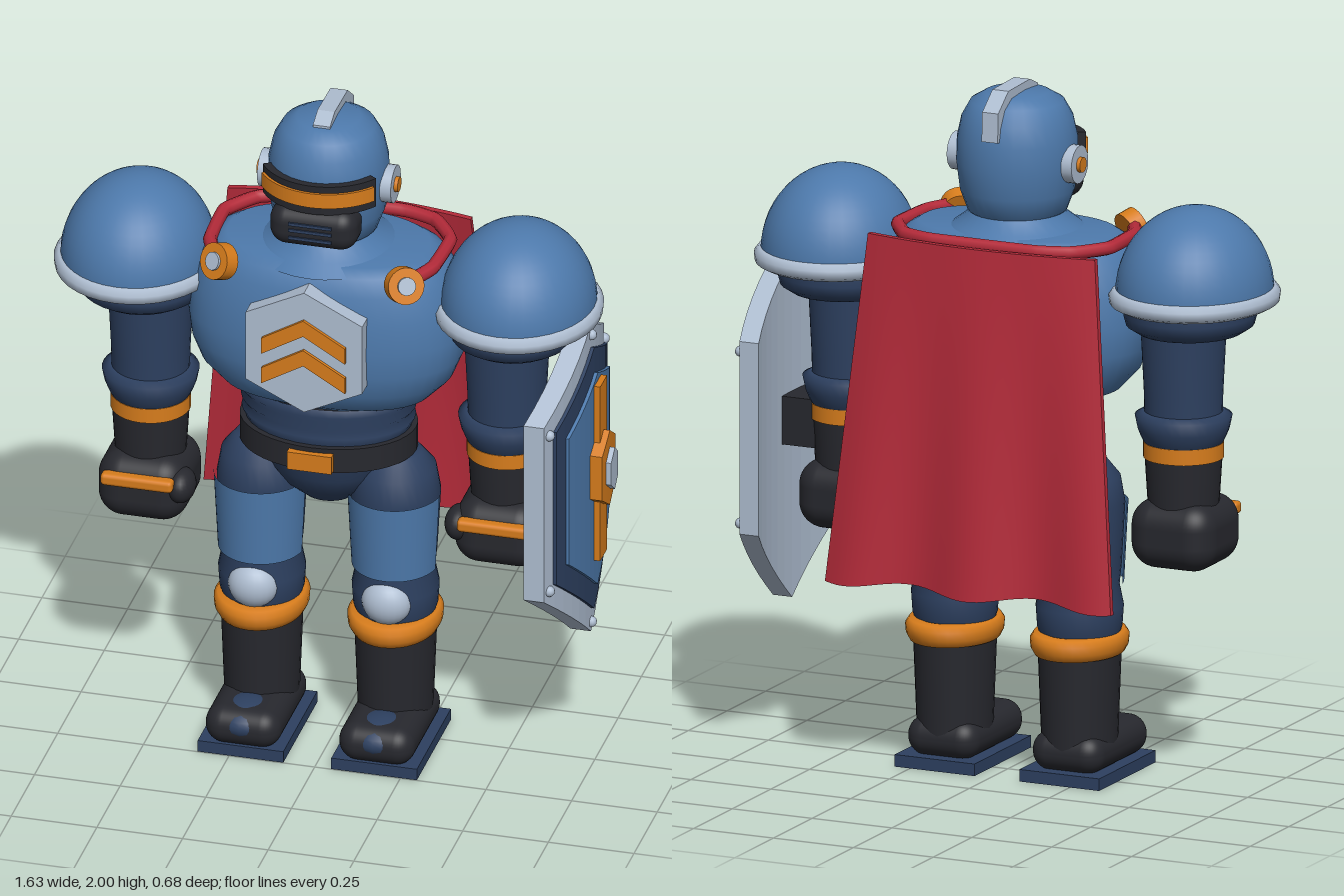
import * as THREE from 'three';
import { mergeVertices } from 'three/addons/utils/BufferGeometryUtils.js';
import { RoundedBoxGeometry } from 'three/addons/geometries/RoundedBoxGeometry.js';

const paint = (name, color) => Object.assign(new THREE.MeshStandardMaterial({ color }), { name });

export function createModel() {
  const blue = paint('armour blue', 0x4d79ab);
  const navy = paint('dark blue', 0x2d4060);
  const black = paint('charcoal', 0x27282e);
  const orange = paint('orange', 0xd67c1c);
  const steel = paint('pale steel', 0xaebdd0);
  const red = paint('cape red', 0xb52b3a);

  const model = new THREE.Group();
  model.name = 'armouredKnight';
  model.position.set(-0.022, 0, 0.016);

  const add = (parent, name, geo, mat, x = 0, y = 0, z = 0) => {
    const m = new THREE.Mesh(geo, mat);
    m.name = name;
    m.position.set(x, y, z);
    parent.add(m);
    return m;
  };
  const group = (name, x = 0) => {
    const g = new THREE.Group();
    g.name = name;
    g.position.x = x;
    model.add(g);
    return g;
  };
  // Turned form from a bottom-to-top profile, with squared-off (n > 2) and stretched section
  const turned = (profile, sz = 1, n = 2, seg = 32) => {
    let geo = new THREE.LatheGeometry(profile.map(p => new THREE.Vector2(...p)), seg);
    const p = geo.attributes.position;
    for (let i = 0; i < p.count; i++) {
      const x = p.getX(i), z = p.getZ(i), r = Math.hypot(x, z);
      if (r < 1e-6) continue;
      const f = (Math.abs(x / r) ** n + Math.abs(z / r) ** n) ** (-1 / n);
      p.setXYZ(i, x * f, p.getY(i), z * f * sz);
    }
    geo.deleteAttribute('uv');
    geo.deleteAttribute('normal');
    geo = mergeVertices(geo, 1e-5);
    geo.computeVertexNormals();
    return geo;
  };
  const ball = (a, b, c) => new THREE.SphereGeometry(1, 24, 16).scale(a, b, c);
  const disc = (r, h, seg = 24) => new THREE.CylinderGeometry(r, r, h, seg);
  const plate = (pts, depth) => new THREE.ExtrudeGeometry(
    new THREE.Shape(pts.map(p => new THREE.Vector2(...p))), { depth, bevelEnabled: false });
  // Curved band around the front of a vertical axis
  const frontBand = (r0, r1, half, h) => {
    const s = new THREE.Shape();
    const a = -Math.PI / 2;
    s.absarc(0, 0, r1, a - half, a + half, false);
    s.absarc(0, 0, r0, a + half, a - half, true);
    return new THREE.ExtrudeGeometry(s, { depth: h, bevelEnabled: false, curveSegments: 20 })
      .rotateX(-Math.PI / 2);
  };

  // Head
  const head = group('head');
  add(head, 'helmet', turned([[0.1, 1.6], [0.14, 1.63], [0.162, 1.69], [0.172, 1.77], [0.17, 1.84],
    [0.157, 1.9], [0.132, 1.945], [0.09, 1.97], [0, 1.978]], 1.03), blue);
  add(head, 'neck', turned([[0.22, 1.56], [0.18, 1.59], [0.14, 1.62], [0.12, 1.66]]), blue);
  const crest = plate([[0.08, 1.95], [0.08, 1.978], [0.03, 2], [-0.11, 1.996], [-0.176, 1.945],
    [-0.18, 1.86], [-0.1, 1.86]], 0.05).rotateY(-Math.PI / 2);
  add(head, 'crest', crest, steel, 0.025);
  add(head, 'visorFrame', frontBand(0.155, 0.194, 1.02, 0.09), black, 0, 1.755);
  add(head, 'visorSlit', frontBand(0.17, 0.202, 0.95, 0.045), orange, 0, 1.78);
  add(head, 'mask', new RoundedBoxGeometry(0.255, 0.125, 0.13, 5, 0.05), black, 0, 1.7, 0.138);
  for (const y of [1.72, 1.7, 1.676])
    add(head, 'maskVent', new THREE.BoxGeometry(0.125, 0.009, 0.008), navy, 0, y, 0.203);
  for (const s of [-1, 1]) {
    add(head, 'earCap', disc(0.055, 0.05).rotateZ(Math.PI / 2), steel, s * 0.17, 1.777);
    add(head, 'earBolt', disc(0.022, 0.02).rotateZ(Math.PI / 2), orange, s * 0.196, 1.777);
  }

  // Torso
  const torso = group('torso');
  add(torso, 'chest', turned([[0, 1.09], [0.23, 1.1], [0.305, 1.13], [0.362, 1.19], [0.39, 1.26], [0.4, 1.34],
    [0.39, 1.43], [0.365, 1.51], [0.33, 1.56], [0.29, 1.583], [0, 1.59]], 0.6, 2.4, 48), blue);
  add(torso, 'chestPlate', plate([[0, 1.54], [0.17, 1.455], [0.17, 1.24], [0, 1.157], [-0.17, 1.24],
    [-0.17, 1.455]], 0.06), steel, 0, 0, 0.208);
  for (const y of [1.455, 1.36])
    add(torso, 'chevron', plate([[0, y], [0.122, y - 0.072], [0.122, y - 0.122], [0, y - 0.05],
      [-0.122, y - 0.122], [-0.122, y - 0.072]], 0.012), orange, 0, 0, 0.266);
  add(torso, 'waist', turned([[0.235, 0.98], [0.24, 1.01], [0.25, 1.03], [0.235, 1.045], [0.252, 1.065],
    [0.238, 1.08], [0.255, 1.1], [0.24, 1.12]], 0.75), navy);
  add(torso, 'belt', new THREE.CylinderGeometry(0.255, 0.255, 0.075, 40).scale(1, 1, 0.77), black, 0, 0.967);
  add(torso, 'buckle', new THREE.BoxGeometry(0.13, 0.055, 0.04), orange, 0, 0.963, 0.193);
  add(torso, 'pelvis', turned([[0, 0.745], [0.07, 0.762], [0.13, 0.81], [0.175, 0.87], [0.2, 0.95]], 0.85), navy);

  // Cape with its collar cord and clasps
  const cape = group('cape');
  const cloth = new THREE.BoxGeometry(1, 1, 1, 40, 14, 1);
  const cp = cloth.attributes.position;
  for (let i = 0; i < cp.count; i++) {
    const u = cp.getX(i) * 2, t = 0.5 - cp.getY(i);
    const fold = 0.022 * t * Math.cos(u * 7.5 + 0.3);
    const z = -0.225 - 0.04 * (1 - u * u) * (1 - 0.5 * t) - 0.08 * t - fold;
    cp.setXYZ(i, u * (0.355 + 0.095 * t), 1.57 - t * (0.995 + 0.01 * Math.cos(u * 7)), z + cp.getZ(i) * 0.018);
  }
  cloth.computeVertexNormals();
  add(cape, 'capeCloth', cloth, red);
  const half = [[0.29, 0.16], [0.325, 0.08], [0.33, -0.09], [0.26, -0.19], [0.16, -0.222]];
  const cord = [...half, ...half.map(([x, z]) => [-x, z]).reverse()].map(([x, z]) => new THREE.Vector3(x, 1.57, z));
  add(cape, 'collarCord', new THREE.TubeGeometry(
    new THREE.CatmullRomCurve3(cord, false, 'catmullrom', 0.2), 60, 0.02, 8), red);
  for (const s of [-1, 1]) {
    const clasp = new THREE.Group();
    clasp.name = 'capeClasp';
    clasp.position.set(s * 0.27, 1.56, 0.185);
    clasp.quaternion.setFromUnitVectors(new THREE.Vector3(0, 1, 0), new THREE.Vector3(s * 0.5, 0.35, 0.79).normalize());
    add(clasp, 'claspDisc', disc(0.053, 0.045), orange);
    add(clasp, 'claspStud', disc(0.026, 0.02), steel, 0, 0.02);
    cape.add(clasp);
  }

  for (const s of [-1, 1]) {
    const side = s > 0 ? 'left' : 'right';

    // Arms
    const arm = group(side + 'Arm', s * 0.52);
    const px = s * 0.035;
    add(arm, 'shoulderDome', new THREE.SphereGeometry(1, 36, 14, 0, Math.PI * 2, 0, Math.PI / 2)
      .scale(0.22, 0.245, 0.243), blue, px, 1.45);
    add(arm, 'shoulderRim', turned([[0, 1.41], [0.215, 1.412], [0.235, 1.423], [0.238, 1.447], [0.225, 1.464],
      [0.19, 1.468]], 1.11, 2, 36), steel, px);
    add(arm, 'shoulderSocket', turned([[0, 1.33], [0.15, 1.335], [0.18, 1.355], [0.188, 1.385], [0.186, 1.42]],
      1.05), navy, px * 0.6);
    add(arm, 'upperArm', turned([[0.11, 1.05], [0.112, 1.15], [0.122, 1.35]]), navy);
    add(arm, 'elbowCuff', turned([[0.1, 0.99], [0.115, 1.015], [0.122, 1.03], [0.13, 1.05], [0.138, 1.088],
      [0.115, 1.1], [0, 1.1]]), navy);
    add(arm, 'wristBand', disc(0.114, 0.045, 32), orange, 0, 0.988);
    add(arm, 'gloveCuff', new THREE.CylinderGeometry(0.11, 0.1, 0.16, 28), black, 0, 0.89);
    add(arm, 'fist', new RoundedBoxGeometry(0.26, 0.2, 0.27, 6, 0.075), black, 0, 0.75, 0.01);
    add(arm, 'knuckleBar', new RoundedBoxGeometry(0.21, 0.037, 0.04, 2, 0.012), orange, 0, 0.793, 0.145);
    add(arm, 'thumb', ball(0.04, 0.05, 0.06), black, -s * 0.115, 0.77, 0.09);

    // Legs
    const leg = group(side + 'Leg', s * 0.195);
    add(leg, 'thigh', turned([[0.1, 0.38], [0.12, 0.44], [0.124, 0.5], [0.112, 0.56], [0.118, 0.62],
      [0.128, 0.8], [0.115, 0.875], [0.075, 0.925], [0, 0.945]], 1.03), navy);
    const guard = new THREE.CylinderGeometry(0.136, 0.124, 0.235, 24, 1, true, -1.4, 2.8);
    const guardMat = blue;
    guardMat.side = THREE.DoubleSide;
    add(leg, 'thighGuard', guard.scale(1, 1, 1.06), guardMat, 0, 0.685);
    add(leg, 'kneeCap', ball(0.073, 0.07, 0.06), steel, 0, 0.485, 0.092);
    add(leg, 'bootBand', turned([[0.1, 0.362], [0.122, 0.365], [0.132, 0.385], [0.134, 0.41], [0.124, 0.426],
      [0.1, 0.428]], 1.25), orange);
    add(leg, 'bootShaft', new THREE.CylinderGeometry(0.117, 0.105, 0.32, 28).scale(1, 1, 1.1), black, 0, 0.23);
    add(leg, 'foot', new RoundedBoxGeometry(0.22, 0.115, 0.365, 5, 0.055), black, 0, 0.085, 0.065);
    add(leg, 'toeCap', ball(0.09, 0.056, 0.1), navy, 0, 0.093, 0.153);
    add(leg, 'sole', new THREE.BoxGeometry(0.25, 0.035, 0.365), navy, 0, 0.0175, 0.05);
  }

  // Shield on the left arm: bowed hexagonal layers
  const shield = group('shield');
  const bow = z => -0.05 * (z / 0.32) ** 2;
  const hexLayer = (name, mat, x0, x1, w, top, topCorner, botCorner, bot) => {
    let geo = new THREE.BoxGeometry(1, 1, 1, 1, 1, 12);
    const p = geo.attributes.position;
    for (let i = 0; i < p.count; i++) {
      const u = p.getZ(i) * 2, a = Math.abs(u);
      const y = p.getY(i) > 0 ? top + (topCorner - top) * a : bot + (botCorner - bot) * a;
      p.setXYZ(i, (p.getX(i) > 0 ? x1 : x0) + bow(u * w), y, u * w);
    }
    geo = geo.toNonIndexed();
    geo.computeVertexNormals();
    add(shield, name, geo, mat);
  };
  hexLayer('shieldFrame', steel, 0.705, 0.765, 0.32, 1.41, 1.235, 0.675, 0.42);
  hexLayer('shieldBorder', navy, 0.74, 0.775, 0.272, 1.335, 1.2, 0.71, 0.495);
  hexLayer('shieldField', blue, 0.75, 0.785, 0.22, 1.255, 1.155, 0.75, 0.575);
  hexLayer('shieldBar', orange, 0.76, 0.802, 0.036, 1.23, 1.23, 0.67, 0.67);
  hexLayer('shieldBoss', orange, 0.76, 0.82, 0.072, 1.075, 1.025, 0.885, 0.835);
  hexLayer('shieldGem', steel, 0.78, 0.835, 0.038, 1.022, 0.99, 0.92, 0.888);
  for (const [y, z] of [[1.375, 0], [0.452, 0], [1.2, 0.295], [1.2, -0.295], [0.7, 0.295], [0.7, -0.295]])
    add(shield, 'rivet', new THREE.SphereGeometry(0.016, 12, 8), steel, 0.766 + bow(z), y, z);
  add(shield, 'shieldGrip', new THREE.BoxGeometry(0.12, 0.14, 0.14), black, 0.66, 0.95, 0);

  return model;
}
